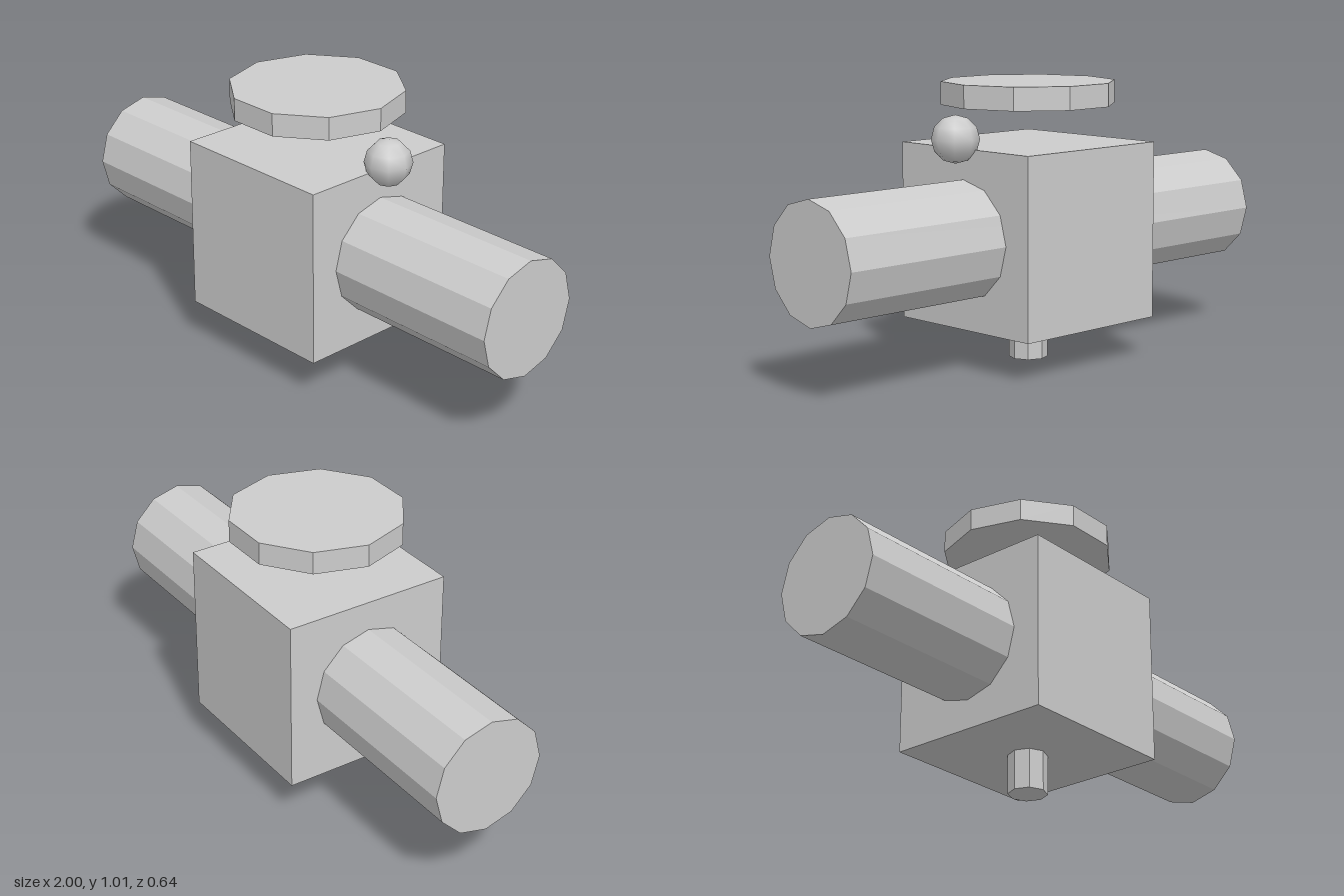
import * as THREE from 'three';

export function createModel() {
  const group = new THREE.Group();
  const grey = new THREE.MeshStandardMaterial({ color: 0xcccccc });
  grey.name = 'light grey';

  const add = (name, geometry, x, y) => {
    const mesh = new THREE.Mesh(geometry, grey);
    mesh.name = name;
    mesh.position.set(x, y, 0);
    group.add(mesh);
    return mesh;
  };

  // Faceted cylinder with crisp sides
  const prism = (radius, height, sides, start = 0) => {
    const geometry = new THREE.CylinderGeometry(radius, radius, height, sides, 1, false, start).toNonIndexed();
    geometry.computeVertexNormals();
    return geometry;
  };

  // Central cube and the crossbar running through it
  add('body', new THREE.BoxGeometry(0.64, 0.642, 0.64), 0, 0.466);
  add('crossbar', prism(0.213, 2, 12).rotateZ(Math.PI / 2), 0, 0.466);

  // Floating ten-sided disc, with corners on the x axis
  add('topDisc', prism(0.315, 0.083, 10, Math.PI / 2), 0, 0.966);

  // Ball at the upper left edge
  add('ball', new THREE.SphereGeometry(0.085, 8, 6), 0.355, 0.823);

  // Short foot under the cube
  add('foot', prism(0.071, 0.15, 8), 0, 0.075);

  return group;
}
